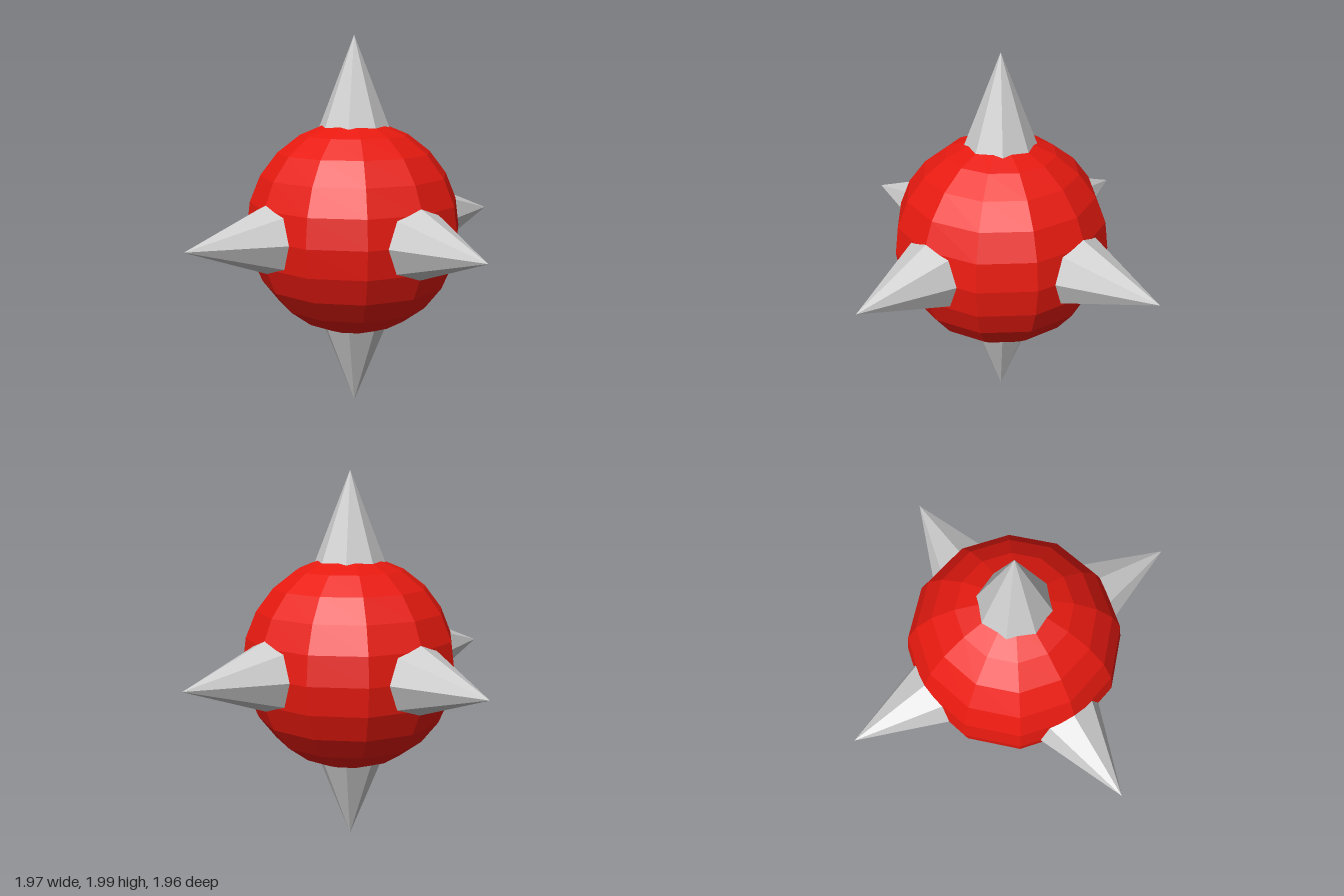
import * as THREE from 'three';

export function createModel() {
  const model = new THREE.Group();
  model.name = 'spikedBall';
  const centre = new THREE.Vector3(-0.005, 1, -0.007);

  const red = new THREE.MeshStandardMaterial({ color: 0xe81a10, flatShading: true });
  const grey = new THREE.MeshStandardMaterial({ color: 0xcccccc, flatShading: true });

  // Faceted ball
  const ball = new THREE.Mesh(new THREE.SphereGeometry(0.57, 12, 12), red);
  ball.name = 'ball';
  ball.position.copy(centre);
  model.add(ball);

  // Eight-sided spikes along each axis, their bases sunk into the ball
  const base = 0.45, slope = 0.395;
  const up = new THREE.Vector3(0, 1, 0);
  const spikes = [
    ['topSpike', 0, 1, 0, 1.0],
    ['bottomSpike', 0, -1, 0, 0.99],
    ['leftSpike', 1, 0, 0, 0.99],
    ['rightSpike', -1, 0, 0, 0.98],
    ['frontSpike', 0, 0, 1, 0.985],
    ['backSpike', 0, 0, -1, 0.98],
  ];
  for (const [name, x, y, z, tip] of spikes) {
    const height = tip - base;
    const geometry = new THREE.ConeGeometry(height * slope, height, 8);
    geometry.translate(0, base + height / 2, 0);
    const spike = new THREE.Mesh(geometry, grey);
    spike.name = name;
    spike.quaternion.setFromUnitVectors(up, new THREE.Vector3(x, y, z));
    spike.position.copy(centre);
    model.add(spike);
  }
  return model;
}
